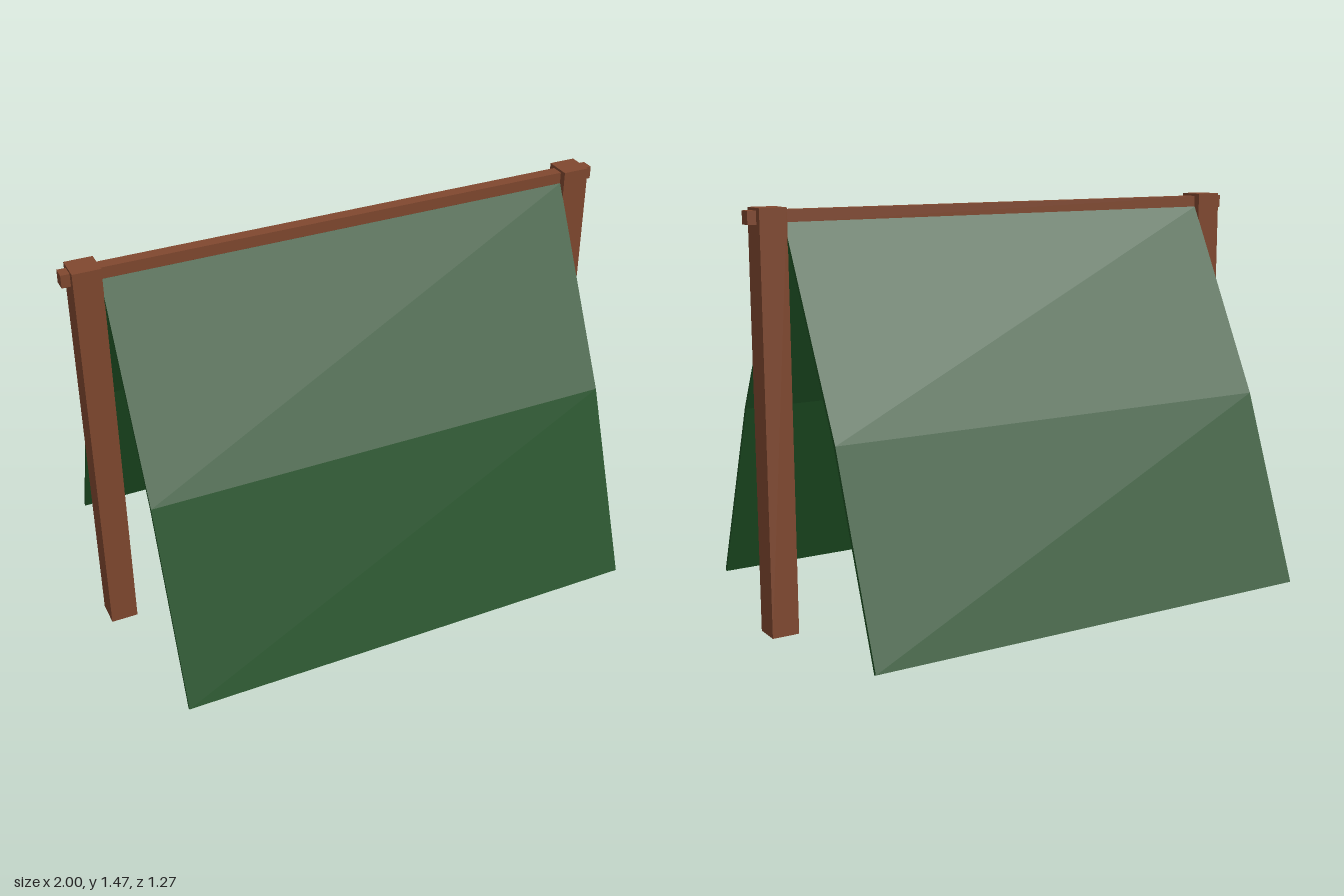
import * as THREE from 'three';

const wood = new THREE.MeshStandardMaterial({ color: 0x80482f, flatShading: true });
const canvas = new THREE.MeshStandardMaterial({ color: 0x1e5024, flatShading: true });

function addBox(parent, name, size, position) {
  const mesh = new THREE.Mesh(new THREE.BoxGeometry(...size), wood);
  mesh.name = name;
  mesh.position.set(...position);
  parent.add(mesh);
}

// Thin bent sheet: a profile of [distance from ridge, height], thickened and extruded along x
function canvasGeometry(side) {
  const outer = [[0.024, 1.42], [0.379, 0.73], [0.637, 0.047]];
  const inner = [[0.367, 0.726], [0.626, 0.043]].reverse();
  const profile = [...outer, ...inner, [0.013, 1.415]];
  const shape = new THREE.Shape(profile.map(([d, y]) => new THREE.Vector2(d * side, y)));
  const width = 1.744;
  const geometry = new THREE.ExtrudeGeometry(shape, { depth: width, bevelEnabled: false });
  geometry.translate(0, 0, -width / 2);
  geometry.rotateY(-Math.PI / 2);
  return geometry;
}

export function createModel() {
  const tent = new THREE.Group();
  tent.name = 'tent';

  // Ridge pole running through both posts
  addBox(tent, 'ridgePole', [2, 0.046, 0.046], [0, 1.438, 0]);

  // Upright posts
  for (const [name, side] of [['leftPost', 1], ['rightPost', -1]]) {
    addBox(tent, name, [0.098, 1.47, 0.098], [side * 0.92, 0.735, 0]);
  }

  // Canvas sheets sloping to front and back
  for (const [name, side] of [['frontCanvas', 1], ['backCanvas', -1]]) {
    const sheet = new THREE.Mesh(canvasGeometry(side), canvas);
    sheet.name = name;
    tent.add(sheet);
  }

  return tent;
}
